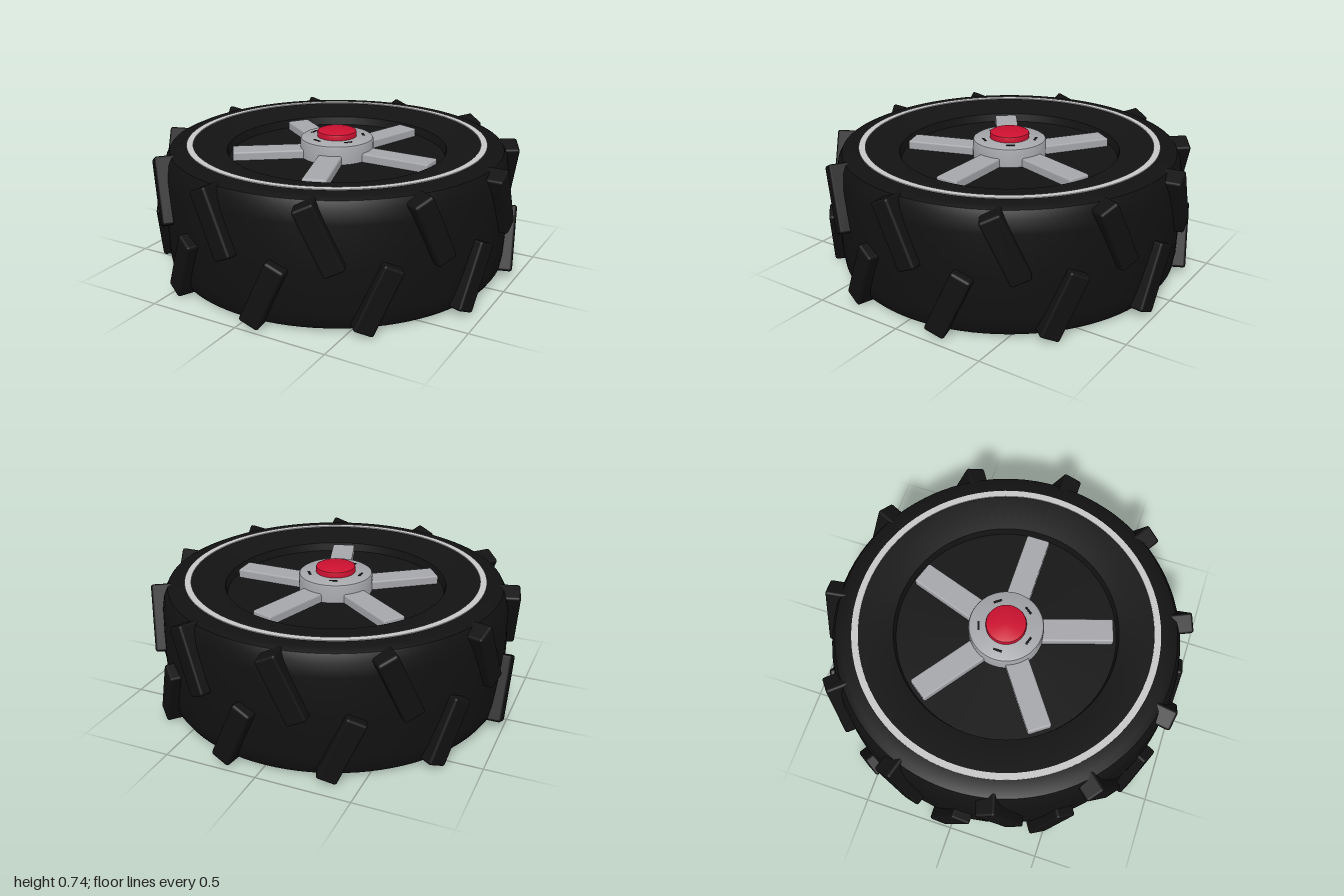
import * as THREE from 'three';
import { toCreasedNormals } from 'three/addons/utils/BufferGeometryUtils.js';
import { RoundedBoxGeometry } from 'three/addons/geometries/RoundedBoxGeometry.js';

const material = (name, color) => {
  const m = new THREE.MeshStandardMaterial({ color });
  m.name = name;
  return m;
};

export function createModel() {
  const wheel = new THREE.Group();
  wheel.name = 'wheel';

  const rubber = material('rubber black', 0x111111);
  const rimBlack = material('rim black', 0x131314);
  const silver = material('ring silver', 0xc6c6c6);
  const metal = material('hub grey', 0xa5a6aa);
  const red = material('cap red', 0xcc1030);
  const darkGrey = material('axle dark grey', 0x38383c);

  const add = (name, geometry, mat, parent = wheel) => {
    const mesh = new THREE.Mesh(geometry, mat);
    mesh.name = name;
    parent.add(mesh);
    return mesh;
  };
  // Profile of [radius, y] points, listed from the bottom up
  const turned = (points, segments = 96) => toCreasedNormals(
    new THREE.LatheGeometry(points.map(([r, y]) => new THREE.Vector2(r, y)), segments), 0.6);

  // Tire carcass with rounded shoulders
  add('tire', turned([
    [0.79, 0.0], [0.87, 0.002], [0.905, 0.015], [0.928, 0.05], [0.938, 0.12],
    [0.945, 0.34], [0.938, 0.56], [0.925, 0.63], [0.905, 0.667], [0.87, 0.683], [0.79, 0.685],
  ]), rubber);

  // Tread: two rows of slanted blocks, staggered by half a step
  const blockGeometry = new RoundedBoxGeometry(0.11, 0.36, 0.14, 2, 0.014);
  const count = 11, step = (Math.PI * 2) / count;
  for (const [name, side, y] of [['upperTread', 1, 0.497], ['lowerTread', -1, 0.187]]) {
    const row = new THREE.Group();
    row.name = name;
    wheel.add(row);
    for (let i = 0; i < count; i++) {
      const angle = -side * step / 4 + i * step;
      const block = add('treadBlock', blockGeometry, rubber, row);
      block.position.set(Math.sin(angle) * 0.922, y, Math.cos(angle) * 0.922);
      block.rotation.set(0, angle, side * 0.43);
    }
  }

  // Dished rim, recessed on both faces
  add('rim', turned([
    [0, 0.07], [0.59, 0.07], [0.6, 0.03], [0.8, 0.0], [0.8, 0.684],
    [0.78, 0.684], [0.6, 0.645], [0.59, 0.6], [0, 0.6],
  ]), rimBlack);
  add('rimRing', turned([[0.815, 0.67], [0.815, 0.689], [0.78, 0.689], [0.78, 0.67]]), silver);

  // Five spokes
  const spokeGeometry = new RoundedBoxGeometry(0.43, 0.06, 0.128, 2, 0.01);
  const spokes = new THREE.Group();
  spokes.name = 'spokes';
  wheel.add(spokes);
  for (let i = 0; i < 5; i++) {
    const angle = (i * Math.PI * 2) / 5;
    const spoke = add('spoke', spokeGeometry, metal, spokes);
    spoke.position.set(Math.cos(angle) * 0.355, 0.617, -Math.sin(angle) * 0.355);
    spoke.rotation.y = angle;
  }

  // Hub with small dark slots between the spokes
  add('hub', turned([[0.2, 0.59], [0.2, 0.688], [0.196, 0.698], [0.185, 0.705], [0, 0.705]], 64), metal);
  const slotGeometry = new THREE.BoxGeometry(0.012, 0.006, 0.046);
  for (let i = 0; i < 5; i++) {
    const angle = Math.PI / 5 + (i * Math.PI * 2) / 5;
    const slot = add('hubSlot', slotGeometry, rimBlack);
    slot.position.set(Math.cos(angle) * 0.145, 0.704, -Math.sin(angle) * 0.145);
    slot.rotation.y = angle;
  }

  // Centre cap
  add('centreCap', turned([
    [0.107, 0.7], [0.108, 0.725], [0.105, 0.734], [0.096, 0.739], [0, 0.74],
  ], 48), red);

  // Axle plate on the underside
  add('axlePlate', turned([[0, 0.005], [0.3, 0.005], [0.3, 0.08]], 64), darkGrey);

  return wheel;
}
